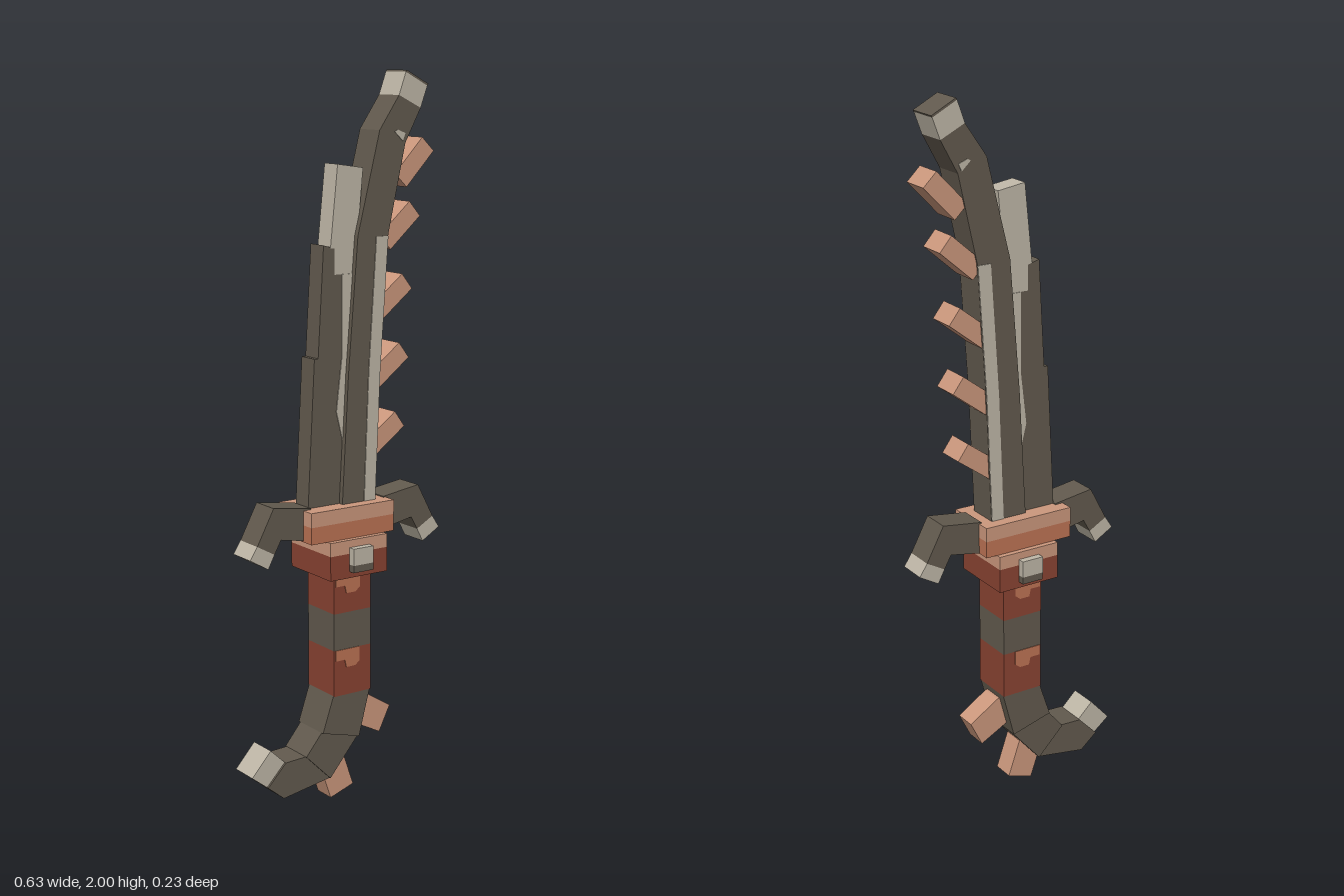
import * as THREE from 'three';

export function createModel() {
  const root = new THREE.Group();
  root.name = 'curvedSword';
  const mat = (name, color) => {
    const m = new THREE.MeshStandardMaterial({ color });
    m.name = name;
    return m;
  };
  const dark = mat('dark iron', 0x625a4e);
  const pale = mat('pale steel', 0xbfb7a7);
  const copper = mat('light copper', 0xcc987d);
  const orange = mat('orange copper', 0xbd7354);
  const red = mat('red leather', 0x8a4332);

  const add = (name, geo, material, x = 0, y = 0, z = 0, parent = root) => {
    const m = new THREE.Mesh(geo, material);
    m.name = name;
    m.position.set(x, y, z);
    parent.add(m);
    return m;
  };
  // Flat outline in x/y, extruded to a depth centred on z = 0
  const prism = (name, pts, depth, material) => {
    const shape = new THREE.Shape(pts.map(p => new THREE.Vector2(p[0], p[1])));
    const geo = new THREE.ExtrudeGeometry(shape, { depth, bevelEnabled: false });
    return add(name, geo.translate(0, 0, -depth / 2), material);
  };
  // Box from its x and y limits, centred on z
  const slab = (name, x0, x1, y0, y1, depth, material) =>
    add(name, new THREE.BoxGeometry(x1 - x0, y1 - y0, depth), material, (x0 + x1) / 2, (y0 + y1) / 2);
  // Thin painted patch on both the front and the back
  const patch = (name, pts, z) => {
    const shape = new THREE.Shape(pts.map(p => new THREE.Vector2(p[0], p[1])));
    for (const s of [1, -1]) {
      const geo = new THREE.ExtrudeGeometry(shape, { depth: 0.003, bevelEnabled: false });
      add(name, geo.translate(0, 0, -0.0015), name.startsWith('grip') ? orange : pale, 0, 0, s * z);
    }
  };

  // Main blade in three bent sections
  prism('mainBladeLower', [[-0.02, 0.84], [0.09, 0.84], [0.105, 1.2], [0.13, 1.57], [0.03, 1.57], [0, 1.2]], 0.09, dark);
  prism('mainBladeUpper', [[0.03, 1.57], [0.13, 1.57], [0.185, 1.81], [0.1, 1.845]], 0.09, dark);
  prism('mainBladeTip', [[0.1, 1.845], [0.185, 1.81], [0.235, 1.9], [0.163, 1.935]], 0.09, dark);
  prism('mainBladePaleTip', [[0.163, 1.935], [0.235, 1.9], [0.257, 1.958], [0.185, 1.995]], 0.09, pale);
  prism('mainBladeTipEnd', [[0.185, 1.995], [0.257, 1.958], [0.26, 1.963], [0.188, 2]], 0.09, dark);
  patch('paleEdge', [[0.052, 0.845], [0.089, 0.845], [0.104, 1.2], [0.129, 1.565], [0.09, 1.565], [0.066, 1.2]], 0.0455);
  patch('tipFleck', [[0.148, 1.84], [0.175, 1.815], [0.184, 1.835], [0.158, 1.845]], 0.0455);

  // Second, thinner blade with a stepped back
  prism('sideBladeLower', [[-0.122, 0.84], [0.02, 0.84], [0.02, 1.25], [-0.1, 1.25]], 0.06, dark);
  prism('sideBladeMiddle', [[-0.088, 1.25], [0.02, 1.25], [0.03, 1.47], [-0.035, 1.47], [-0.035, 1.54], [-0.07, 1.55]], 0.06, dark);
  prism('sideBladeTip', [[-0.035, 1.47], [0.03, 1.47], [0.057, 1.748], [-0.025, 1.76], [-0.048, 1.54], [-0.035, 1.54]], 0.06, pale);
  patch('sideBladeWear', [[-0.03, 1.1], [-0.01, 1.02], [0.02, 1.25], [0.028, 1.47], [-0.012, 1.47], [-0.012, 1.25]], 0.0305);

  // Teeth along the cutting edge: tip centre and tilt
  const teeth = [[0.175, 1.06, 36], [0.188, 1.25, 37], [0.197, 1.438, 38], [0.221, 1.633, 41], [0.264, 1.804, 46]];
  teeth.forEach(([x, y, deg]) => {
    const geo = new THREE.BoxGeometry(0.13, 0.054, 0.082).translate(-0.065, 0, 0);
    add('tooth', geo, copper, x, y).rotation.z = THREE.MathUtils.degToRad(deg);
  });

  // Guard
  slab('guardTop', -0.145, 0.128, 0.805, 0.845, 0.16, copper);
  slab('guardBottom', -0.145, 0.128, 0.758, 0.805, 0.16, orange);
  slab('collarTop', -0.093, 0.095, 0.72, 0.758, 0.19, copper);
  slab('collarBottom', -0.093, 0.095, 0.652, 0.72, 0.19, red);
  slab('guardStudUpper', -0.031, 0.034, 0.69, 0.737, 0.23, pale);
  slab('guardStudLower', -0.031, 0.034, 0.67, 0.69, 0.23, dark);

  // Drooping guard arms
  for (const s of [1, -1]) {
    const m = pts => pts.map(([x, y]) => [s * x, y]);
    prism('guardArm', m([[0.12, 0.848], [0.24, 0.865], [0.292, 0.768], [0.238, 0.738], [0.217, 0.775], [0.12, 0.757]]), 0.084, dark);
    prism('guardArmTip', m([[0.292, 0.768], [0.315, 0.733], [0.258, 0.7], [0.238, 0.738]]), 0.084, pale);
  }

  // Wrapped grip
  slab('gripWrapUpper', -0.06, 0.063, 0.545, 0.655, 0.126, red);
  slab('gripBand', -0.06, 0.063, 0.44, 0.545, 0.126, dark);
  slab('gripWrapLower', -0.06, 0.063, 0.308, 0.44, 0.126, red);
  for (const y of [0.652, 0.44])
    patch('gripPatch', [[-0.055, y], [0.025, y], [0.025, y - 0.04], [0.01, y - 0.052], [-0.02, y - 0.052], [-0.025, y - 0.03], [-0.055, y - 0.03]], 0.0635);

  // Hooked pommel
  prism('pommelNeck', [[-0.06, 0.31], [0.063, 0.31], [0.027, 0.175], [-0.095, 0.208]], 0.12, dark);
  prism('pommelBend', [[-0.095, 0.208], [0.027, 0.175], [-0.065, 0.068], [-0.145, 0.148]], 0.105, dark);
  prism('pommelHook', [[-0.145, 0.148], [-0.065, 0.068], [-0.217, 0.043], [-0.268, 0.085], [-0.21, 0.145]], 0.096, dark);
  prism('pommelTip', [[-0.21, 0.145], [-0.268, 0.085], [-0.315, 0.122], [-0.255, 0.188]], 0.084, pale);
  prism('pommelSpikeSide', [[0.04, 0.29], [0.065, 0.288], [0.153, 0.232], [0.117, 0.16], [0.03, 0.205]], 0.064, copper);
  prism('pommelSpikeBottom', [[-0.085, 0.1], [-0.01, 0.13], [0.026, 0.025], [-0.05, 0]], 0.064, copper);

  return root;
}
